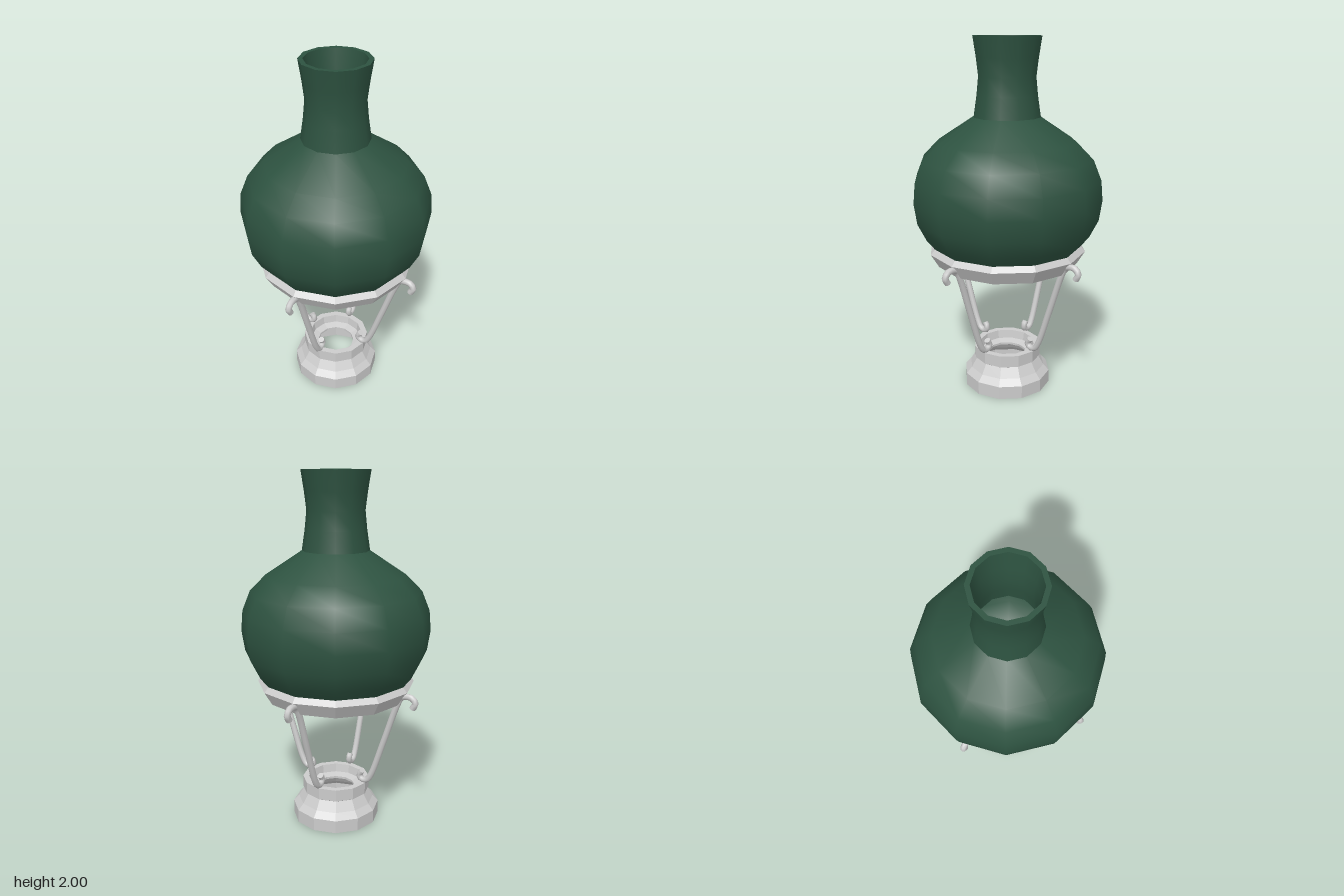
import * as THREE from 'three';

const SIDES = 12;
const green = new THREE.MeshStandardMaterial({ color: 0x2d5240 });
const grey = new THREE.MeshStandardMaterial({ color: 0xcccccc });
const greyFlat = new THREE.MeshStandardMaterial({ color: 0xcccccc, flatShading: true });

// Turned part from [radius, y] points; rising points face outward
function turned(name, points, material) {
  const profile = points.map(([r, y]) => new THREE.Vector2(r, y));
  const mesh = new THREE.Mesh(new THREE.LatheGeometry(profile, SIDES), material);
  mesh.name = name;
  return mesh;
}

// Wrought leg: one rod with a curl at each end, lying in the x-y plane
function makeLeg() {
  const path = new THREE.CatmullRomCurve3([
    [0.478, 0.752], [0.495, 0.785], [0.475, 0.811], [0.445, 0.815], [0.412, 0.805],
    [0.385, 0.75], [0.31, 0.525], [0.232, 0.3], [0.207, 0.264], [0.175, 0.26],
    [0.157, 0.282], [0.175, 0.312],
  ].map(([r, y]) => new THREE.Vector3(r, y, 0)));
  const radius = 0.018;
  const leg = new THREE.Group();
  leg.add(new THREE.Mesh(new THREE.TubeGeometry(path, 44, radius, 8), grey));
  // Flat caps close the rod
  for (const [t, sign] of [[0, -1], [1, 1]]) {
    const cap = new THREE.Mesh(new THREE.CircleGeometry(radius, 8), grey);
    const point = path.getPointAt(t);
    cap.position.copy(point);
    cap.lookAt(point.clone().addScaledVector(path.getTangentAt(t), sign));
    cap.name = 'rodEnd';
    leg.add(cap);
  }
  return leg;
}

export function createModel() {
  const model = new THREE.Group();
  model.name = 'flaskOnStand';

  // Flask: outer and inner shells joined by the lip
  const flask = new THREE.Group();
  flask.name = 'flask';
  const body = [
    [0, 0.69], [0.14, 0.702], [0.27, 0.745], [0.385, 0.82], [0.465, 0.92], [0.513, 1.016],
    [0.53, 1.13], [0.52, 1.243], [0.475, 1.354], [0.386, 1.444], [0.185, 1.577],
  ];
  const neck = [[0.185, 1.577], [0.168, 1.69], [0.158, 1.79], [0.17, 1.89], [0.187, 2]];
  const wall = 0.025;
  const inset = ([r, y]) => [Math.max(0, r - wall), y];
  const innerBody = body.map(([r, y]) => [Math.max(0, r - wall), y < 1.13 ? y + 0.02 : y]);
  innerBody[10][1] = 1.577;
  flask.add(
    turned('body', body, green),
    turned('neck', neck, green),
    turned('lip', [[0.187, 2], [0.162, 2]], green),
    turned('neckInside', neck.map(inset).reverse(), green),
    turned('bodyInside', innerBody.reverse(), green),
  );
  model.add(flask);

  // Collar that carries the flask
  model.add(turned('supportRing', [
    [0.345, 0.76], [0.4, 0.76], [0.445, 0.835], [0.42, 0.865], [0.395, 0.865], [0.345, 0.76],
  ], greyFlat));

  // Hollow foot with a narrow ledge inside
  model.add(turned('base', [
    [0.232, 0], [0.252, 0], [0.252, 0.075], [0.22, 0.11], [0.187, 0.165], [0.195, 0.17],
    [0.195, 0.238], [0.16, 0.238], [0.152, 0.19], [0.11, 0.178], [0.11, 0.165],
    [0.165, 0.15], [0.2, 0.1], [0.232, 0.07], [0.232, 0],
  ], greyFlat));

  // Four legs, a quarter turn apart
  for (let i = 0; i < 4; i++) {
    const leg = makeLeg();
    leg.name = 'leg' + (i + 1);
    leg.rotation.y = i * Math.PI / 2;
    model.add(leg);
  }
  return model;
}
